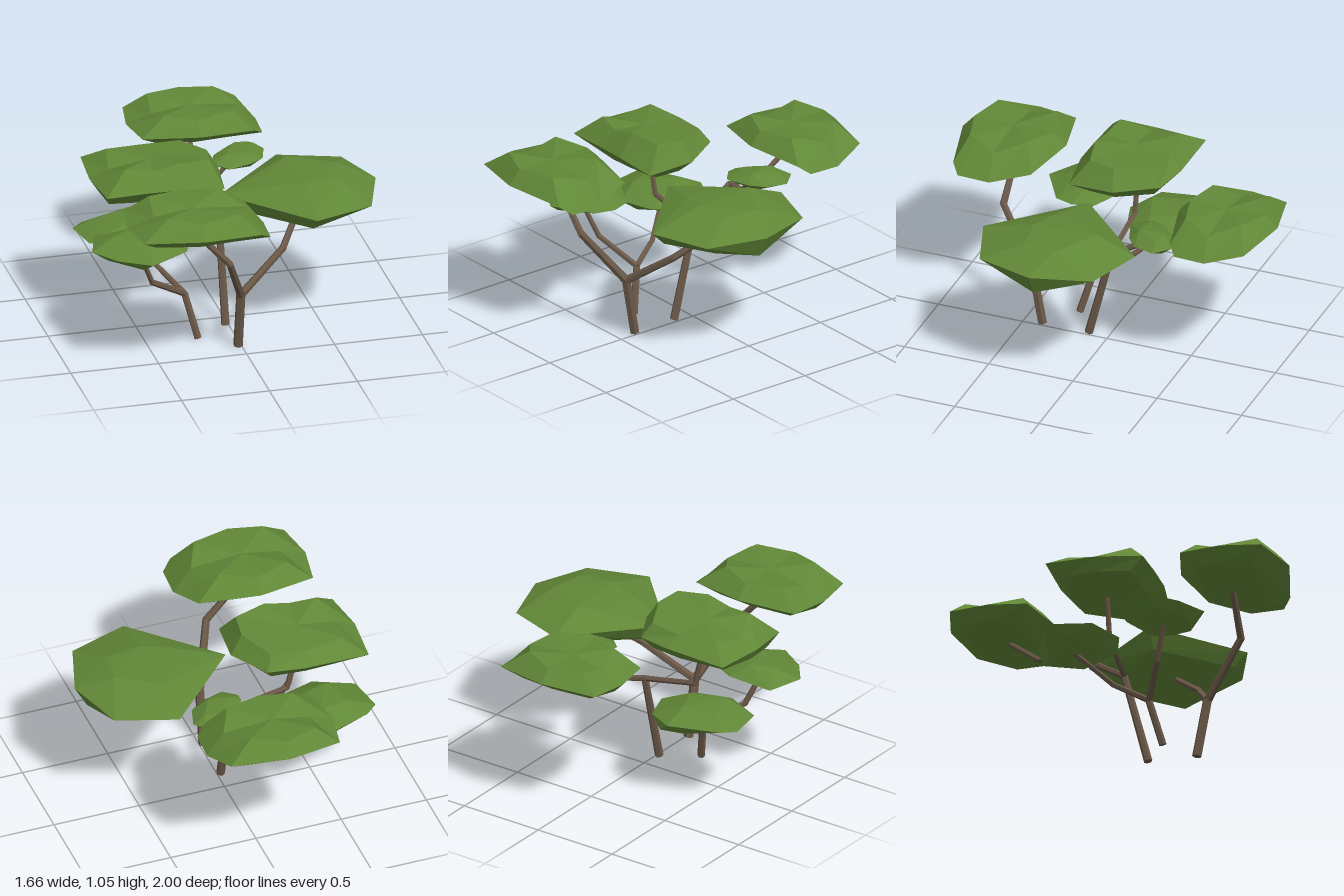
import * as THREE from 'three';
import { ConvexGeometry } from 'three/addons/geometries/ConvexGeometry.js';

const leaf = new THREE.MeshStandardMaterial({ color: 0x618737, flatShading: true });
leaf.name = 'leaf green';
const bark = new THREE.MeshStandardMaterial({ color: 0x6a5848, flatShading: true });
bark.name = 'bark brown';

const V = (p) => new THREE.Vector3(...p);

// Bent branch: one tapered six-sided piece per stretch, overlapping at the bends
function branch(name, points, r0, r1) {
  const group = new THREE.Group();
  group.name = name;
  const n = points.length - 1;
  for (let i = 0; i < n; i++) {
    const a = V(points[i]), b = V(points[i + 1]);
    const dir = b.clone().sub(a).normalize();
    if (i > 0) a.addScaledVector(dir, -0.006);
    if (i < n - 1) b.addScaledVector(dir, 0.006);
    const ra = r0 + (r1 - r0) * (i / n), rb = r0 + (r1 - r0) * ((i + 1) / n);
    const mesh = new THREE.Mesh(new THREE.CylinderGeometry(rb, ra, a.distanceTo(b), 6), bark);
    mesh.name = name + 'Piece';
    mesh.quaternion.setFromUnitVectors(new THREE.Vector3(0, 1, 0), dir);
    mesh.position.copy(a).add(b).multiplyScalar(0.5);
    group.add(mesh);
  }
  return group;
}

// Faceted foliage cloud: hull around a rim plus crown and underside points
function canopy(name, rim, crown, underside) {
  const mesh = new THREE.Mesh(new ConvexGeometry([...rim, ...crown, ...underside].map(V)), leaf);
  mesh.name = name;
  return mesh;
}

// Foliage cloud with a dented crown: rings of equal count from bottom to top, closed by two poles
function dentedCanopy(name, bottom, rings, top) {
  const pos = [], n = rings[0].length;
  const face = (...corners) => corners.forEach((c) => pos.push(...c));
  const last = rings[rings.length - 1];
  for (let i = 0; i < n; i++) {
    const j = (i + 1) % n;
    face(bottom, rings[0][j], rings[0][i]);
    for (let k = 0; k < rings.length - 1; k++) {
      const lo = rings[k], hi = rings[k + 1];
      face(lo[i], lo[j], hi[j]);
      face(lo[i], hi[j], hi[i]);
    }
    face(last[i], last[j], top);
  }
  const geometry = new THREE.BufferGeometry();
  geometry.setAttribute('position', new THREE.Float32BufferAttribute(pos, 3));
  geometry.computeVertexNormals();
  const mesh = new THREE.Mesh(geometry, leaf);
  mesh.name = name;
  return mesh;
}

export function createModel() {
  const tree = new THREE.Group();
  tree.name = 'tree';

  // Front trunk and its two limbs
  const forkA = [-0.02, 0.33, 0.45];
  tree.add(
    branch('frontTrunk', [[-0.02, 0, 0.39], forkA], 0.027, 0.026),
    branch('frontLimb', [forkA, [-0.14, 0.63, 0.67], [-0.36, 0.87, 0.67]], 0.025, 0.017),
    branch('leftLimb', [forkA, [0.25, 0.53, 0.33], [0.4, 0.7, 0.14]], 0.023, 0.017),
  );
  // Side trunk and its two limbs
  const forkB = [-0.27, 0.25, 0.18];
  tree.add(
    branch('sideTrunk', [[-0.21, 0, 0.245], forkB], 0.021, 0.02),
    branch('sideLimb', [forkB, [-0.48, 0.385, 0.28], [-0.56, 0.58, 0.34]], 0.019, 0.014),
    branch('lowLimb', [forkB, [-0.36, 0.325, 0], [-0.53, 0.49, -0.21]], 0.017, 0.013),
  );
  // Middle trunk and its three limbs
  const forkC = [-0.02, 0.53, -0.02], forkD = [-0.08, 0.675, -0.315];
  tree.add(
    branch('middleTrunk', [[-0.02, 0, 0.115], forkC], 0.024, 0.02),
    branch('middleLimb', [forkC, [-0.36, 0.6, -0.02], [-0.42, 0.86, -0.02]], 0.016, 0.014),
    branch('backLimb', [forkC, forkD, [-0.04, 0.675, -0.5], [-0.02, 0.83, -0.71]], 0.018, 0.014),
    branch('smallLimb', [forkD, [0.03, 0.68, -0.325], [0.13, 0.79, -0.325]], 0.014, 0.012),
  );

  // Front canopy, repeated a little smaller at the back
  const front = dentedCanopy('frontCanopy', [-0.02, -0.1, -0.03], [
    [[0, -0.075, 0.17], [0.2, -0.09, 0.12], [0.25, -0.1, 0.08], [0.26, -0.11, 0], [0.22, -0.07, -0.17],
      [0, -0.06, -0.2], [-0.25, -0.06, -0.17], [-0.3, -0.07, 0], [-0.24, -0.065, 0.14]],
    [[0, 0.01, 0.3], [0.34, -0.02, 0.22], [0.4, -0.06, 0.17], [0.41, -0.06, -0.02], [0.34, 0, -0.24],
      [0, 0.02, -0.315], [-0.33, 0, -0.24], [-0.37, 0, -0.01], [-0.33, 0, 0.22]],
    [[0, 0.09, 0.23], [0.22, 0.1, 0.17], [0.24, 0.095, 0.12], [0.3, 0.06, 0], [0.19, 0.11, -0.16],
      [0, 0.09, -0.24], [-0.2, 0.1, -0.18], [-0.22, 0.05, -0.01], [-0.18, 0.11, 0.16]],
  ], [0, 0.085, 0]);
  front.position.set(-0.36, 0.925, 0.7);
  const back = front.clone();
  back.name = 'backCanopy';
  back.scale.set(0.95, 0.95, 0.95);
  back.position.set(-0.02, 0.885, -0.705);
  tree.add(front, back);

  // Middle canopy, the tallest
  tree.add(dentedCanopy('middleCanopy', [-0.38, 0.825, 0], [
    [[-0.3, 0.84, 0.2], [-0.13, 0.83, 0.15], [-0.12, 0.83, 0], [-0.2, 0.85, -0.2], [-0.4, 0.85, -0.22],
      [-0.68, 0.855, -0.2], [-0.72, 0.85, 0], [-0.7, 0.84, 0.18], [-0.45, 0.835, 0.2]],
    [[-0.3, 0.92, 0.275], [-0.06, 0.89, 0.25], [-0.03, 0.91, -0.02], [-0.16, 0.92, -0.25], [-0.36, 0.93, -0.295],
      [-0.74, 0.92, -0.29], [-0.765, 0.92, 0], [-0.73, 0.91, 0.26], [-0.5, 0.92, 0.27]],
    [[-0.3, 1.045, 0.19], [-0.12, 1.03, 0.15], [-0.1, 1.02, 0], [-0.2, 1.0, -0.2], [-0.4, 0.99, -0.22],
      [-0.62, 1.0, -0.19], [-0.66, 0.965, 0], [-0.6, 1.03, 0.16], [-0.45, 1.01, 0.19]],
  ], [-0.42, 1.005, 0]));

  // Broad left canopy
  tree.add(canopy('leftCanopy',
    [[-0.055, 0.8, 0.13], [0.38, 0.79, -0.32], [0.72, 0.79, -0.205],
      [0.83, 0.8, 0.13], [0.72, 0.79, 0.465], [0.38, 0.79, 0.58]],
    [[0.23, 0.86, 0.22], [0.24, 0.86, 0.04], [0.38, 0.88, -0.1], [0.4, 0.88, 0.27],
      [0.63, 0.88, 0.05], [0.6, 0.87, 0.25]],
    [[0.38, 0.66, 0.13], [0.76, 0.67, 0.13], [0.03, 0.7, 0.13], [0.38, 0.71, 0.5],
      [0.38, 0.7, -0.18], [0.62, 0.69, 0.33], [0.62, 0.69, -0.08]]));

  // Two low canopies on the right
  tree.add(canopy('sideCanopy',
    [[-0.83, 0.625, 0.32], [-0.77, 0.62, 0.115], [-0.5, 0.63, 0.11], [-0.33, 0.62, 0.2],
      [-0.28, 0.625, 0.32], [-0.32, 0.62, 0.43], [-0.55, 0.62, 0.565], [-0.72, 0.62, 0.46]],
    [[-0.69, 0.68, 0.26], [-0.58, 0.69, 0.2], [-0.42, 0.685, 0.28], [-0.52, 0.68, 0.4]],
    [[-0.58, 0.555, 0.33], [-0.7, 0.57, 0.2], [-0.4, 0.57, 0.25], [-0.58, 0.565, 0.49], [-0.75, 0.58, 0.35]]));
  tree.add(canopy('lowCanopy',
    [[-0.8, 0.52, -0.235], [-0.73, 0.52, -0.3], [-0.45, 0.525, -0.41], [-0.29, 0.52, -0.33],
      [-0.225, 0.52, -0.15], [-0.34, 0.52, 0.02], [-0.54, 0.52, 0.08], [-0.76, 0.52, -0.02]],
    [[-0.65, 0.58, -0.22], [-0.46, 0.595, -0.27], [-0.38, 0.58, -0.1], [-0.58, 0.59, -0.04]],
    [[-0.72, 0.465, -0.15], [-0.5, 0.46, -0.33], [-0.3, 0.465, -0.18], [-0.5, 0.46, 0], [-0.38, 0.47, -0.38]]));

  // Small canopy between the middle and back ones
  tree.add(canopy('smallCanopy',
    [[0.01, 0.805, -0.24], [0.01, 0.81, -0.29], [0.035, 0.81, -0.36], [0.135, 0.81, -0.45], [0.26, 0.81, -0.485],
      [0.33, 0.8, -0.4], [0.295, 0.8, -0.28], [0.22, 0.8, -0.22], [0.08, 0.8, -0.175]],
    [[0.07, 0.835, -0.28], [0.17, 0.85, -0.41], [0.27, 0.84, -0.4], [0.19, 0.85, -0.27]],
    [[0.07, 0.77, -0.25], [0.13, 0.765, -0.38], [0.26, 0.77, -0.43], [0.22, 0.76, -0.27]]));

  return tree;
}
